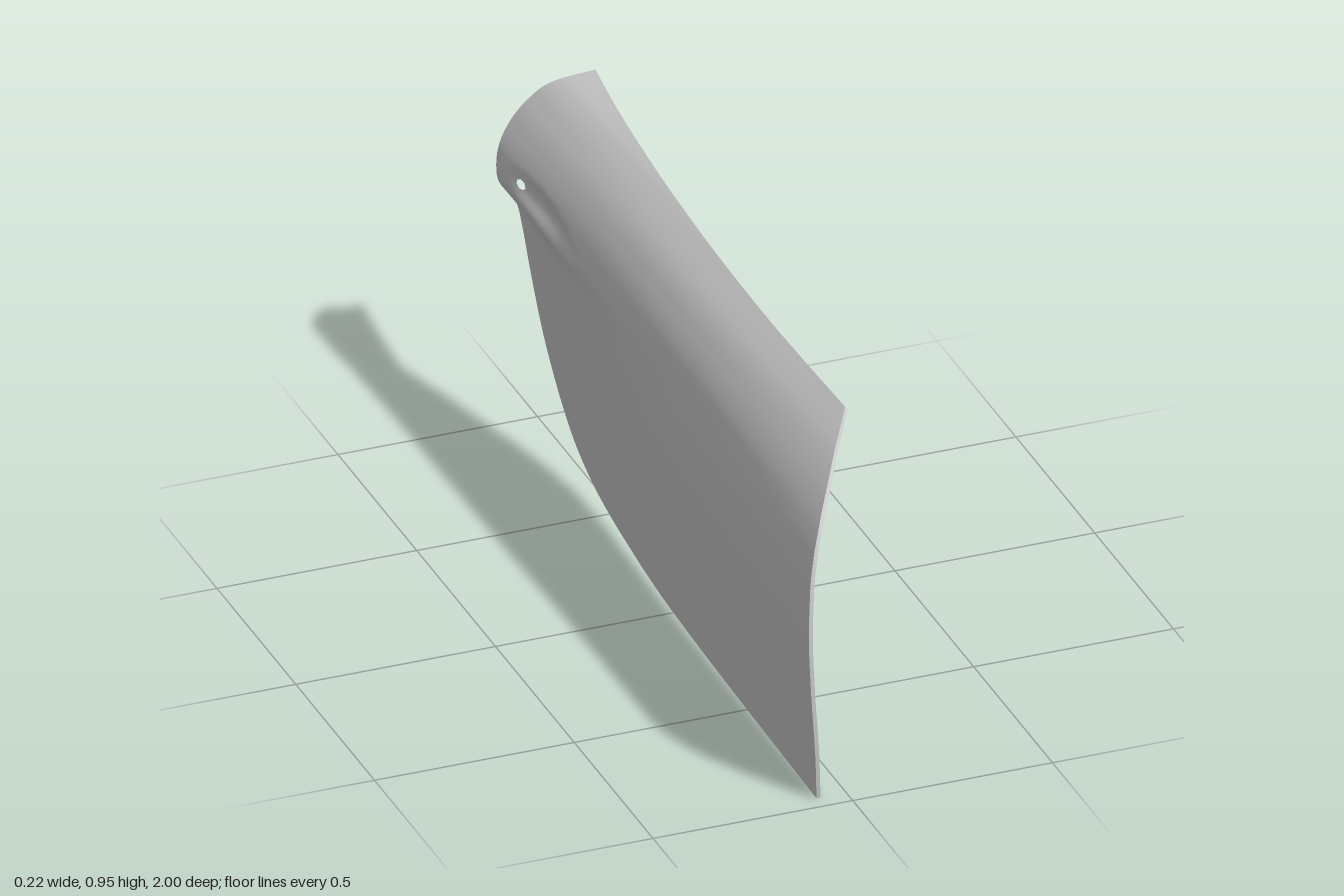
import * as THREE from 'three';

const material = new THREE.MeshStandardMaterial({ color: 0xcccccc, side: THREE.DoubleSide });

// Outline curves as (z, y)
const spline = (...p) => new THREE.SplineCurve(p.map(([z, y]) => new THREE.Vector2(z, y)));
const bottom = spline([0.96, 0.004], [0.5, 0.01], [0, 0.02], [-0.3, 0.034], [-0.48, 0.053], [-0.6, 0.088], [-0.68, 0.135], [-0.75, 0.205]);
const rear = spline([-0.75, 0.205], [-0.83, 0.315], [-0.9, 0.44], [-0.96, 0.585], [-0.988, 0.68], [-1, 0.78], [-0.99, 0.85], [-0.965, 0.905], [-0.91, 0.95]);
const front = spline([0.96, 0.004], [0.98, 0.13], [0.995, 0.3], [1, 0.45], [0.995, 0.58], [0.98, 0.67], [0.95, 0.74], [0.9, 0.81], [0.83, 0.872], [0.765, 0.915]);
const top = spline([0.765, 0.915], [0.3, 0.918], [-0.3, 0.932], [-0.91, 0.95]);

// Cross-sections: x at each height, for four stations along z
const heights = [0, 0.15, 0.3, 0.45, 0.56, 0.61, 0.65, 0.68, 0.74, 0.8, 0.86, 0.92, 0.96];
const stations = [-1, -0.6, 0, 1];
const sections = [
  [-0.03, -0.04, -0.047, -0.052, -0.058, -0.068, -0.1, -0.108, -0.1, -0.072, -0.03, 0.035, 0.14],
  [-0.035, -0.046, -0.058, -0.068, -0.077, -0.083, -0.093, -0.096, -0.085, -0.06, -0.02, 0.045, 0.12],
  [-0.062, -0.078, -0.093, -0.103, -0.103, -0.1, -0.096, -0.092, -0.079, -0.052, -0.012, 0.055, 0.11],
  [-0.075, -0.088, -0.102, -0.11, -0.106, -0.101, -0.093, -0.085, -0.06, -0.025, 0.023, 0.087, 0.13],
];

// Smooth interpolation through unevenly spaced values
function interpolate(xs, ys, x) {
  const n = xs.length;
  let i = 0;
  while (i < n - 2 && x > xs[i + 1]) i++;
  const slope = (k) => {
    const a = Math.max(k - 1, 0), b = Math.min(k + 1, n - 1);
    return (ys[b] - ys[a]) / (xs[b] - xs[a]);
  };
  const h = xs[i + 1] - xs[i], t = THREE.MathUtils.clamp((x - xs[i]) / h, 0, 1);
  const t2 = t * t, t3 = t2 * t;
  return (2 * t3 - 3 * t2 + 1) * ys[i] + (t3 - 2 * t2 + t) * h * slope(i)
    + (3 * t2 - 2 * t3) * ys[i + 1] + (t3 - t2) * h * slope(i + 1);
}

// Handle recess pressed inwards, and the lock hole at its rear end
const recess = { z: -0.72, y: 0.7, rz: 0.22, ry: 0.05, depth: 0.02 };
const hole = { z: -0.868, y: 0.707, rz: 0.02, ry: 0.012 };
const reach = (e, z, y) => Math.hypot((z - e.z) / e.rz, (y - e.y) / e.ry);

function skinX(z, y) {
  const x = interpolate(stations, sections.map((s) => interpolate(heights, s, y)), z);
  const d = reach(recess, z, y - 0.06 * (recess.z - z));
  return x + (d < 1 ? recess.depth * (1 - d * d) ** 1.5 : 0);
}

const COLS = 160, ROWS = 130;

function skinGeometry() {
  const along = (c, n) => Array.from({ length: n + 1 }, (_, i) => c.getPointAt(i / n));
  const B = along(bottom, COLS), T = along(top, COLS), F = along(front, ROWS), R = along(rear, ROWS);
  const positions = [], inHole = [], index = [];
  for (let j = 0; j <= ROWS; j++) {
    for (let i = 0; i <= COLS; i++) {
      const u = i / COLS, v = j / ROWS;
      // Patch blended from the four outline curves
      const blend = (k) => (1 - v) * B[i][k] + v * T[i][k] + (1 - u) * F[j][k] + u * R[j][k]
        - (1 - u) * (1 - v) * B[0][k] - u * (1 - v) * B[COLS][k]
        - (1 - u) * v * T[0][k] - u * v * T[COLS][k];
      let z = blend('x'), y = blend('y');
      const d = reach(hole, z, y);
      inHole.push(d < 1);
      if (d < 1 && d > 0) {
        z = hole.z + (z - hole.z) / d;
        y = hole.y + (y - hole.y) / d;
      }
      positions.push(skinX(z, y), y, z);
    }
  }
  const face = (...t) => { if (!t.every((k) => inHole[k])) index.push(...t); };
  for (let j = 0; j < ROWS; j++) {
    for (let i = 0; i < COLS; i++) {
      const a = j * (COLS + 1) + i, b = a + COLS + 1;
      face(a, b, a + 1);
      face(a + 1, b, b + 1);
    }
  }
  return build(positions, index);
}

function build(positions, index) {
  const g = new THREE.BufferGeometry();
  g.setAttribute('position', new THREE.Float32BufferAttribute(positions, 3));
  g.setIndex(index);
  g.computeVertexNormals();
  return g;
}

// Narrow lip folded inwards along a run of skin vertices
function lipGeometry(skin, run, width) {
  const p = new THREE.Vector3(), n = new THREE.Vector3(), positions = [], index = [];
  run.forEach((k, i) => {
    p.fromBufferAttribute(skin.attributes.position, k);
    n.fromBufferAttribute(skin.attributes.normal, k);
    positions.push(...p.toArray(), ...p.addScaledVector(n, -width).toArray());
    if (i) index.push(2 * i - 2, 2 * i - 1, 2 * i, 2 * i, 2 * i - 1, 2 * i + 1);
  });
  return build(positions, index);
}

export function createModel() {
  const group = new THREE.Group();
  group.name = 'doorPanel';
  const add = (name, geometry) => {
    const mesh = new THREE.Mesh(geometry, material);
    mesh.name = name;
    group.add(mesh);
  };
  const skin = skinGeometry();
  add('outerSkin', skin);

  const cols = [...Array(COLS + 1).keys()], rows = [...Array(ROWS + 1).keys()];
  add('frontLip', lipGeometry(skin, rows.map((j) => j * (COLS + 1)), 0.01));
  add('bottomAndRearLip', lipGeometry(skin, [...cols, ...rows.slice(1).map((j) => j * (COLS + 1) + COLS)], 0.01));
  return group;
}
